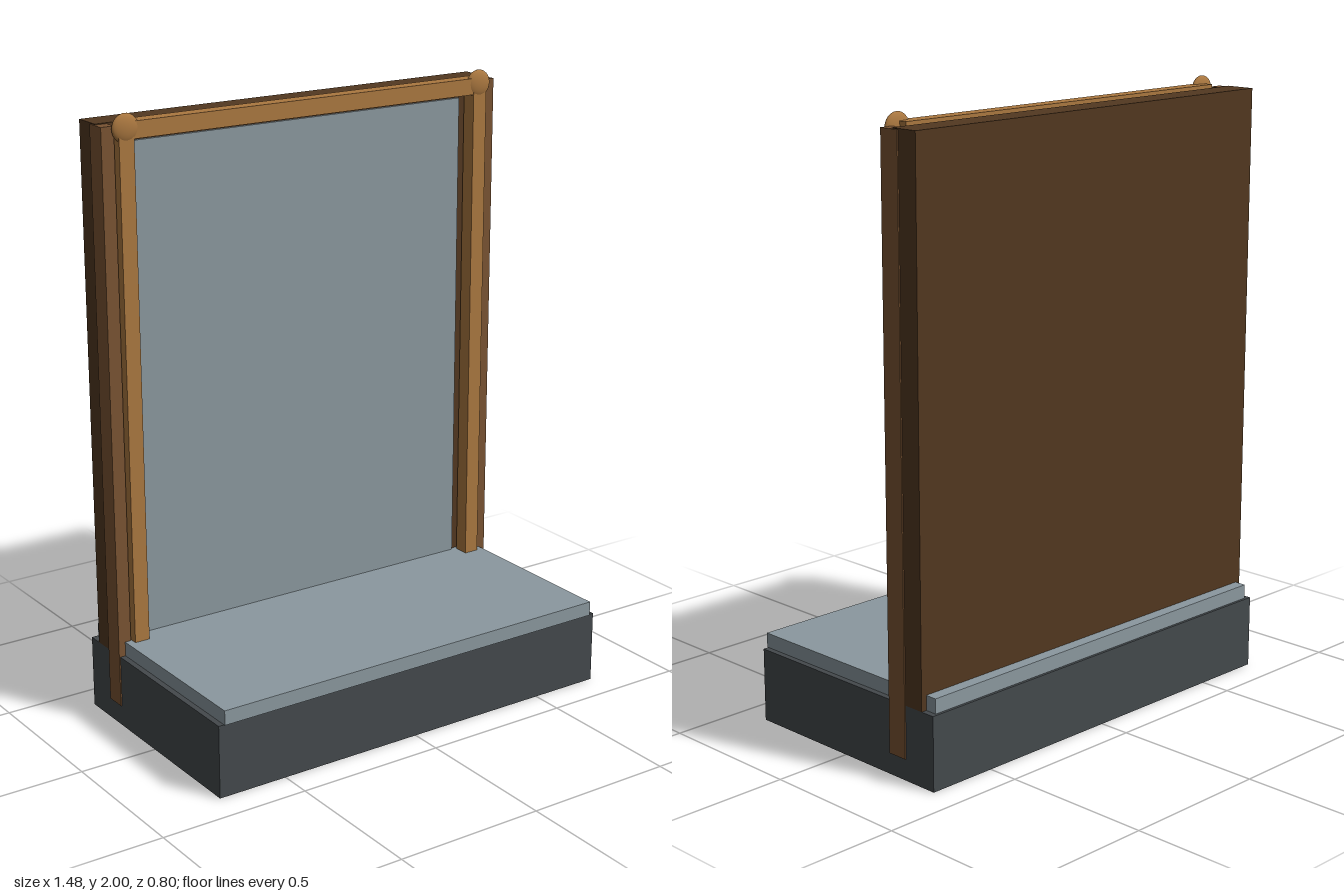
import * as THREE from 'three';

const paint = (name, color) => {
  const m = new THREE.MeshStandardMaterial({ color });
  m.name = name;
  return m;
};

export function createModel() {
  const group = new THREE.Group();
  const charcoal = paint('charcoal', 0x44494c);
  const greyBlue = paint('grey blue', 0x8b989f);
  const darkWood = paint('dark wood', 0x523820);
  const midWood = paint('mid wood', 0x7a5433);
  const goldWood = paint('golden wood', 0xab7840);

  // Box given by its minimum and maximum corners
  const box = (name, material, [x0, y0, z0], [x1, y1, z1]) => {
    const mesh = new THREE.Mesh(new THREE.BoxGeometry(x1 - x0, y1 - y0, z1 - z0), material);
    mesh.position.set((x0 + x1) / 2, (y0 + y1) / 2, (z0 + z1) / 2);
    mesh.name = name;
    group.add(mesh);
  };

  // Plinth and the slab on top
  box('base', charcoal, [-0.738, 0, -0.397], [0.738, 0.242, 0.393]);
  box('baseSlab', greyBlue, [-0.719, 0.242, -0.388], [0.719, 0.29, 0.398]);

  // Upright back board with its inset panel
  box('backBoard', darkWood, [-0.738, 0.242, -0.348], [0.738, 1.965, -0.25]);
  box('panel', greyBlue, [-0.625, 0.28, -0.25], [0.625, 1.903, -0.241]);

  // Top rail of the trim
  box('topTrim', goldWood, [-0.67, 1.92, -0.236], [0.67, 1.974, -0.185]);

  // Side posts, vertical trim and corner knobs
  for (const s of [-1, 1]) {
    const side = s < 0 ? 'right' : 'left';
    const span = (a, b) => (s < 0 ? [-b, -a] : [a, b]);
    const [p0, p1] = span(0.698, 0.742);
    box(side + 'Post', midWood, [p0, 0.07, -0.277], [p1, 1.962, -0.207]);
    const [t0, t1] = span(0.642, 0.694);
    box(side + 'Trim', goldWood, [t0, 0.28, -0.236], [t1, 1.95, -0.184]);

    const knob = new THREE.Mesh(new THREE.SphereGeometry(0.046, 24, 16), goldWood);
    knob.scale.z = 0.35;
    knob.position.set(s * 0.667, 1.954, -0.194);
    knob.name = side + 'Knob';
    group.add(knob);
  }
  return group;
}
